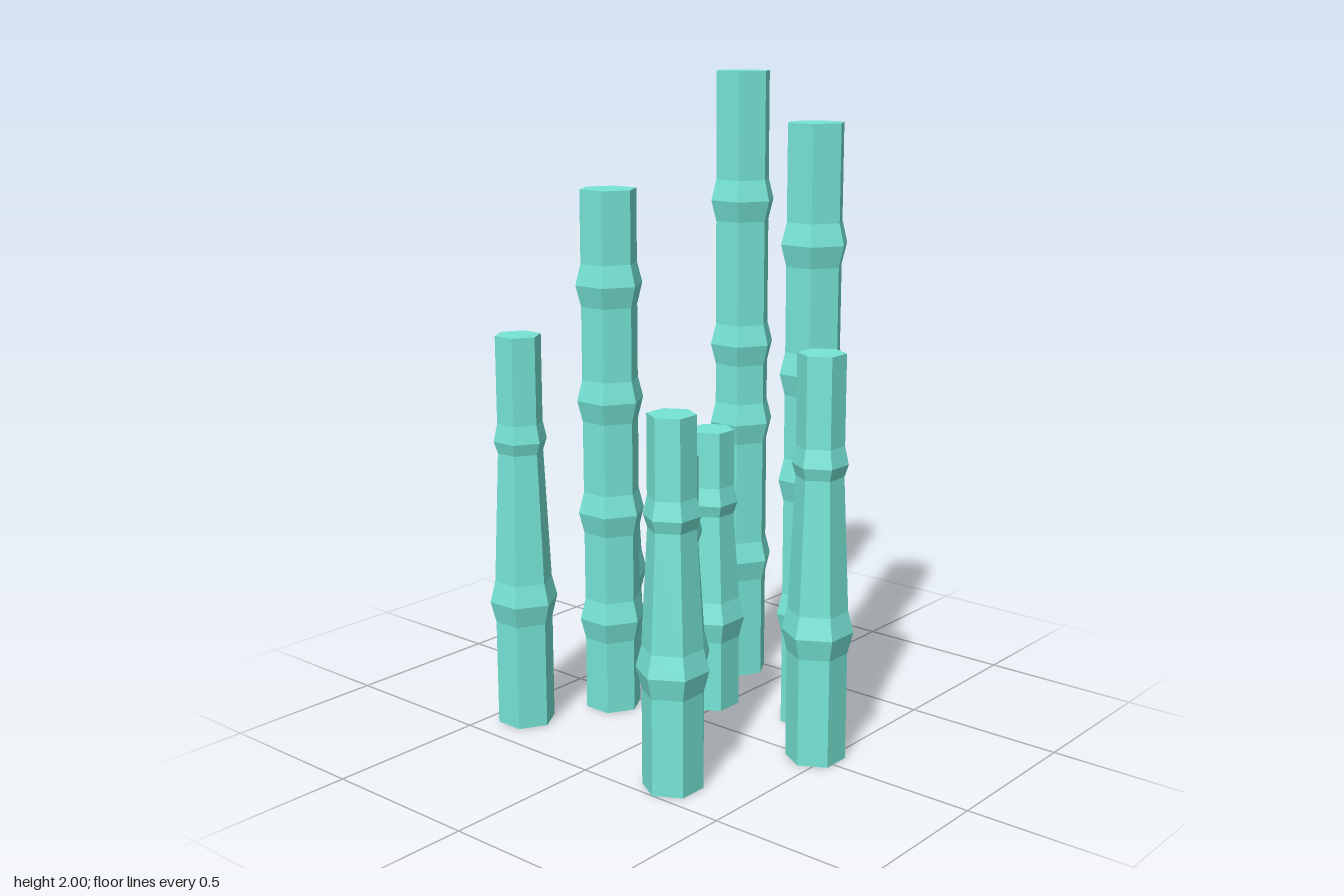
import * as THREE from 'three';

const R = 0.09; // stalk radius
const SIDES = 6;

// Straight tall stalk: every node flares out and back symmetrically
function tallProfile(height, nodes) {
  const rings = [[0, 0], [R, 0]];
  for (const y of nodes) rings.push([R, y - 0.066], [0.107, y], [R, y + 0.066]);
  rings.push([R, height], [0, height]);
  return rings;
}

// Short stalk: full-width foot, one big node, a tapering section, one small node
function shortProfile(height, [low, high]) {
  const top = 0.071;
  return [
    [0, 0], [R, 0],
    [R, low - 0.066], [0.107, low], [R, low + 0.066],
    [top, high - 0.037], [0.083, high], [top, high + 0.055],
    [top, height], [0, height],
  ];
}

export function createModel() {
  const group = new THREE.Group();
  group.name = 'bambooCluster';
  const material = new THREE.MeshStandardMaterial({ color: 0x76e5d6, flatShading: true });

  // Stalk shapes from tallest to shortest
  const shapes = {
    tallest: tallProfile(2, [0.4, 0.87, 1.13, 1.595]),
    tall: tallProfile(1.865, [0.36, 0.79, 1.12, 1.51]),
    medium: tallProfile(1.66, [0.3, 0.65, 1.01, 1.37]),
    short: shortProfile(1.235, [0.4, 0.91]),
    shorter: shortProfile(1.105, [0.36, 0.815]),
    shortest: shortProfile(0.91, [0.295, 0.677]),
  };

  // Shape, x, z, and whether a corner points sideways (+x) instead of forward (+z)
  const stalks = [
    ['tallest', -0.16, -0.43, true],
    ['tall', 0.27, -0.233, true],
    ['medium', -0.278, 0.075, true],
    ['short', 0.46, -0.017, false],
    ['short', -0.405, 0.343, true],
    ['shorter', 0.264, 0.411, false],
    ['shorter', -0.45, -0.127, true],
    ['shortest', 0.092, 0.195, true],
    ['shortest', -0.045, -0.137, false],
  ];

  stalks.forEach(([shape, x, z, sideways], i) => {
    const points = shapes[shape].map(([r, y]) => new THREE.Vector2(r, y));
    const stalk = new THREE.Mesh(new THREE.LatheGeometry(points, SIDES), material);
    stalk.name = `${shape}Stalk${i + 1}`;
    stalk.position.set(x, 0, z);
    stalk.rotation.y = sideways ? Math.PI / 6 : 0;
    group.add(stalk);
  });

  return group;
}
